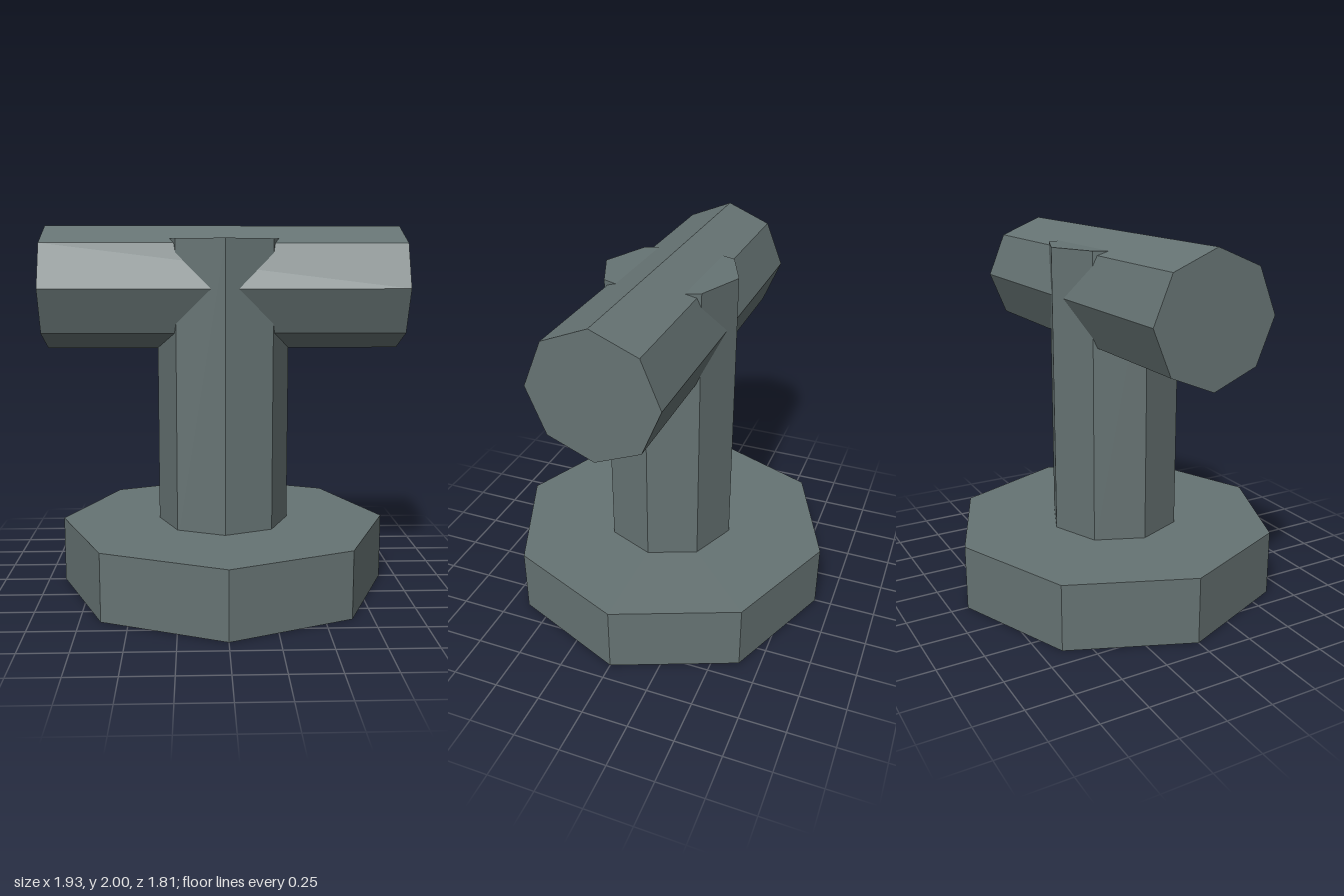
import * as THREE from 'three';

export function createModel() {
  const model = new THREE.Group();
  const material = new THREE.MeshStandardMaterial({ color: 0x667373, flatShading: true });

  // Eight-sided prism with a corner on each axis
  const prism = (name, radius, length, y) => {
    const mesh = new THREE.Mesh(new THREE.CylinderGeometry(radius, radius, length, 8), material);
    mesh.name = name;
    mesh.position.y = y;
    model.add(mesh);
    return mesh;
  };

  const baseHeight = 0.363, postTop = 1.925, postBottom = 0.3;
  prism('base', 0.907, baseHeight, baseHeight / 2);
  // Post, sunk slightly into the base
  prism('post', 0.363, postTop - postBottom, (postTop + postBottom) / 2);
  // Crossbar lying along x through the top of the post
  prism('crossbar', 0.333, 1.935, 1.667).rotation.z = Math.PI / 2;

  return model;
}
